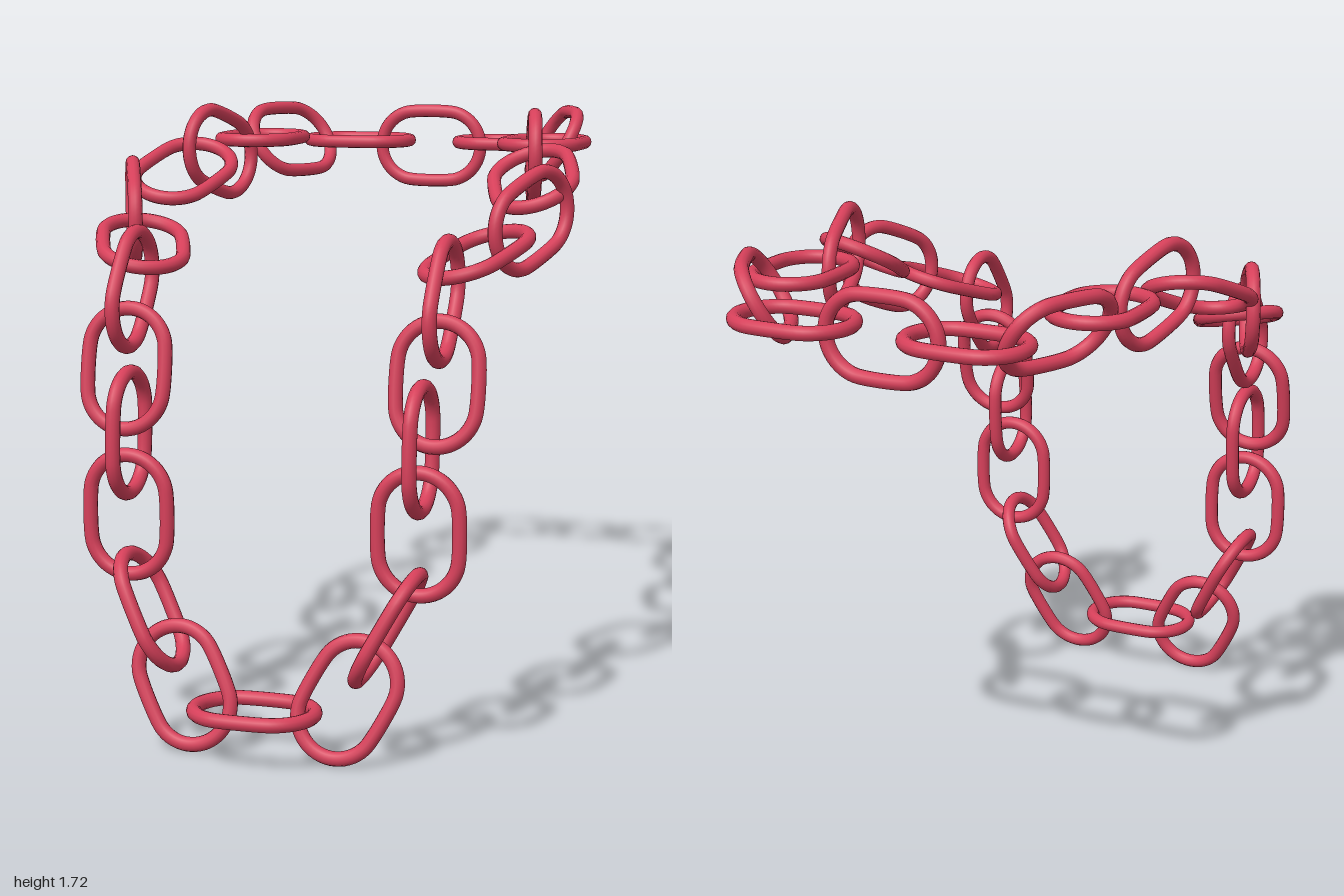
import * as THREE from 'three';

const HALF_STRAIGHT = 0.055, BEND = 0.1125, WIRE = 0.0205;

// One oval link: long axis on x, flat in the xy plane
function linkGeometry() {
  const points = [];
  for (const side of [1, -1]) {
    for (let i = 0; i <= 10; i++) {
      const a = -Math.PI / 2 + (Math.PI * i) / 10;
      points.push(new THREE.Vector3(
        side * (HALF_STRAIGHT + BEND * Math.cos(a)), side * BEND * Math.sin(a), 0));
    }
  }
  const path = new THREE.CatmullRomCurve3(points, true, 'centripetal');
  return new THREE.TubeGeometry(path, 72, WIRE, 12, true);
}

// Links of the left half, front to back: [centre, long axis, normal of the flat side]
const sideLinks = [
  [[0.235, 0.19, 0.815], [0.47, 0.88, -0.18], [0, 0.2, 1]],
  [[0.34, 0.39, 0.785], [0.46, 0.86, -0.2], [0.88, -0.47, 0]],
  [[0.416, 0.646, 0.76], [0, 1, 0], [0, 0, 1]],
  [[0.418, 0.873, 0.743], [0, 1, -0.07], [1, 0, 0]],
  [[0.446, 1.042, 0.69], [0, 0.98, -0.17], [0, 0.17, 0.98]],
  [[0.448, 1.257, 0.632], [0, 0.8, -0.6], [1, 0, 0]],
  [[0.49, 1.365, 0.45], [0.37, 0.3, -0.85], [-0.2, 0.93, 0.25]],
  [[0.597, 1.443, 0.26], [0.38, 0.38, -0.84], [0.91, 0, 0.41]],
  [[0.54, 1.54, 0.008], [-0.3, 0.36, -0.87], [-0.2, 0.92, 0.42]],
  [[0.495, 1.585, -0.193], [-0.24, -0.32, -0.92], [0.96, 0, -0.25]],
  [[0.46, 1.613, -0.482], [0, 0, -1], [0, 1, 0]],
  [[0.438, 1.597, -0.708], [-0.42, 0, -0.9], [0.78, -0.5, -0.37]],
  [[0.255, 1.588, -0.866], [1, 0, 0], [0, 1, 0]],
];

export function createModel() {
  const chain = new THREE.Group();
  chain.name = 'chain';
  const geometry = linkGeometry();
  const material = new THREE.MeshStandardMaterial({ color: 0xd6405a });

  const addLink = (name, [centre, axis, normal], mirror = 1) => {
    const vec = ([x, y, z]) => new THREE.Vector3(x * mirror, y, z);
    const along = vec(axis).normalize();
    const across = vec(normal).cross(along).normalize();
    const flat = along.clone().cross(across);
    const link = new THREE.Mesh(geometry, material);
    link.name = name;
    link.quaternion.setFromRotationMatrix(new THREE.Matrix4().makeBasis(along, across, flat));
    link.position.copy(vec(centre));
    chain.add(link);
  };

  // Middle links join the two halves
  addLink('frontLink', [[-0.013, 0.15, 0.866], [1, 0, 0], [0, 1, 0]]);
  addLink('backLink', [[-0.013, 1.572, -0.877], [1, 0, 0], [0, 0, 1]]);

  // Mirrored side links
  sideLinks.forEach((link, i) => {
    addLink(`leftLink${i + 1}`, link);
    addLink(`rightLink${i + 1}`, link, -1);
  });
  return chain;
}
